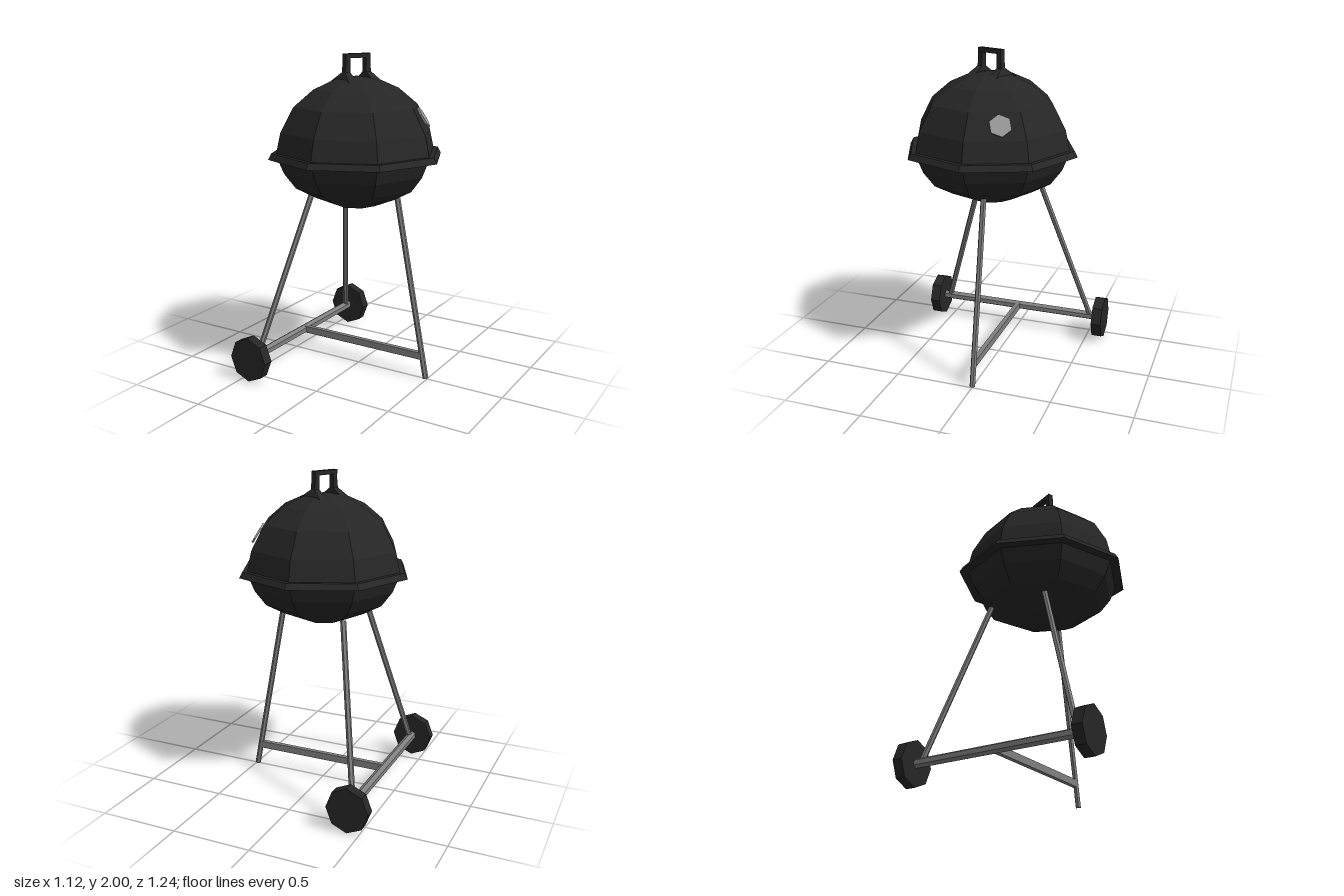
import * as THREE from 'three';

const mat = (color) => new THREE.MeshStandardMaterial({ color, flatShading: true });
const V = (x, y, z) => new THREE.Vector3(x, y, z);

export function createModel() {
  const model = new THREE.Group();
  const black = mat(0x262626), steel = mat(0x808080), ventGrey = mat(0x999999);

  const add = (parent, name, geometry, material) => {
    const mesh = new THREE.Mesh(geometry, material);
    mesh.name = name;
    parent.add(mesh);
    return mesh;
  };

  // Round bar between two points
  const tube = (name, a, b, r) => {
    const mesh = add(model, name, new THREE.CylinderGeometry(r, r, a.distanceTo(b), 6), steel);
    mesh.position.copy(a).lerp(b, 0.5);
    mesh.quaternion.setFromUnitVectors(V(0, 1, 0), b.clone().sub(a).normalize());
    return mesh;
  };

  // Eight-sided kettle, its axis slightly off the origin
  const kettle = new THREE.Group();
  kettle.name = 'kettle';
  kettle.position.set(0.01, 0, 0.043);
  model.add(kettle);
  const lathe = (name, pts) =>
    add(kettle, name, new THREE.LatheGeometry(pts.map(([r, y]) => new THREE.Vector2(r, y)), 8), black);
  lathe('bowl', [[0, 1.08], [0.13, 1.08], [0.265, 1.135], [0.38, 1.197], [0.45, 1.29], [0.487, 1.38]]);
  lathe('lid', [[0.48, 1.38], [0.545, 1.38], [0.525, 1.417], [0.495, 1.417], [0.467, 1.54],
    [0.386, 1.69], [0.265, 1.79], [0.13, 1.85], [0, 1.868]]);

  // Lid handle: grip on two legs with flared feet
  const handle = new THREE.Group();
  handle.name = 'lidHandle';
  handle.rotation.y = -0.395;
  kettle.add(handle);
  add(handle, 'grip', new THREE.BoxGeometry(0.034, 0.027, 0.18), black).position.y = 1.9865;
  for (const s of [-1, 1]) {
    const leg = new THREE.BoxGeometry(0.034, 0.15, 0.032, 1, 3, 1);
    const p = leg.attributes.position;
    for (let i = 0; i < p.count; i++) {
      const y = p.getY(i);
      const outer = p.getZ(i) * s > 0;
      // Lowest row spreads sideways and outward
      if (y < -0.07) {
        p.setX(i, p.getX(i) * 5.2);
        if (outer) p.setZ(i, p.getZ(i) + s * 0.03);
      } else if (y < 0 && outer) p.setZ(i, p.getZ(i) + s * 0.006);
    }
    leg.computeVertexNormals();
    add(handle, 'handleLeg', leg, black).position.set(0, 1.915, s * 0.074);
  }

  // Vent disc lying on a lid facet
  const vent = add(model, 'vent', new THREE.CylinderGeometry(0.068, 0.068, 0.012, 6), ventGrey);
  const az = Math.PI / 8, tilt = 0.55;
  vent.position.set(0.372, 1.622, -0.14);
  vent.quaternion.setFromUnitVectors(V(0, 1, 0),
    V(Math.cos(az) * Math.cos(tilt), Math.sin(tilt), -Math.sin(az) * Math.cos(tilt)));

  // Legs, axle and crossbar
  tube('frontLeg', V(0.49, 0.003, 0), V(0.272, 1.15, 0), 0.018);
  for (const s of [-1, 1]) tube('rearLeg', V(-0.425, 0.15, s * 0.517), V(-0.22, 1.15, s * 0.195), 0.018);
  tube('axle', V(-0.428, 0.148, -0.56), V(-0.428, 0.148, 0.56), 0.029);
  add(model, 'crossbar', new THREE.BoxGeometry(0.885, 0.045, 0.03), steel).position.set(0.018, 0.148, 0);

  // Eight-sided wheels
  for (const s of [-1, 1]) {
    const geo = new THREE.CylinderGeometry(0.1325, 0.1325, 0.065, 8);
    geo.rotateX(Math.PI / 2);
    geo.scale(1, 1.07, 1);
    add(model, 'wheel', geo, black).position.set(-0.428, 0.148, s * 0.585);
  }
  return model;
}
